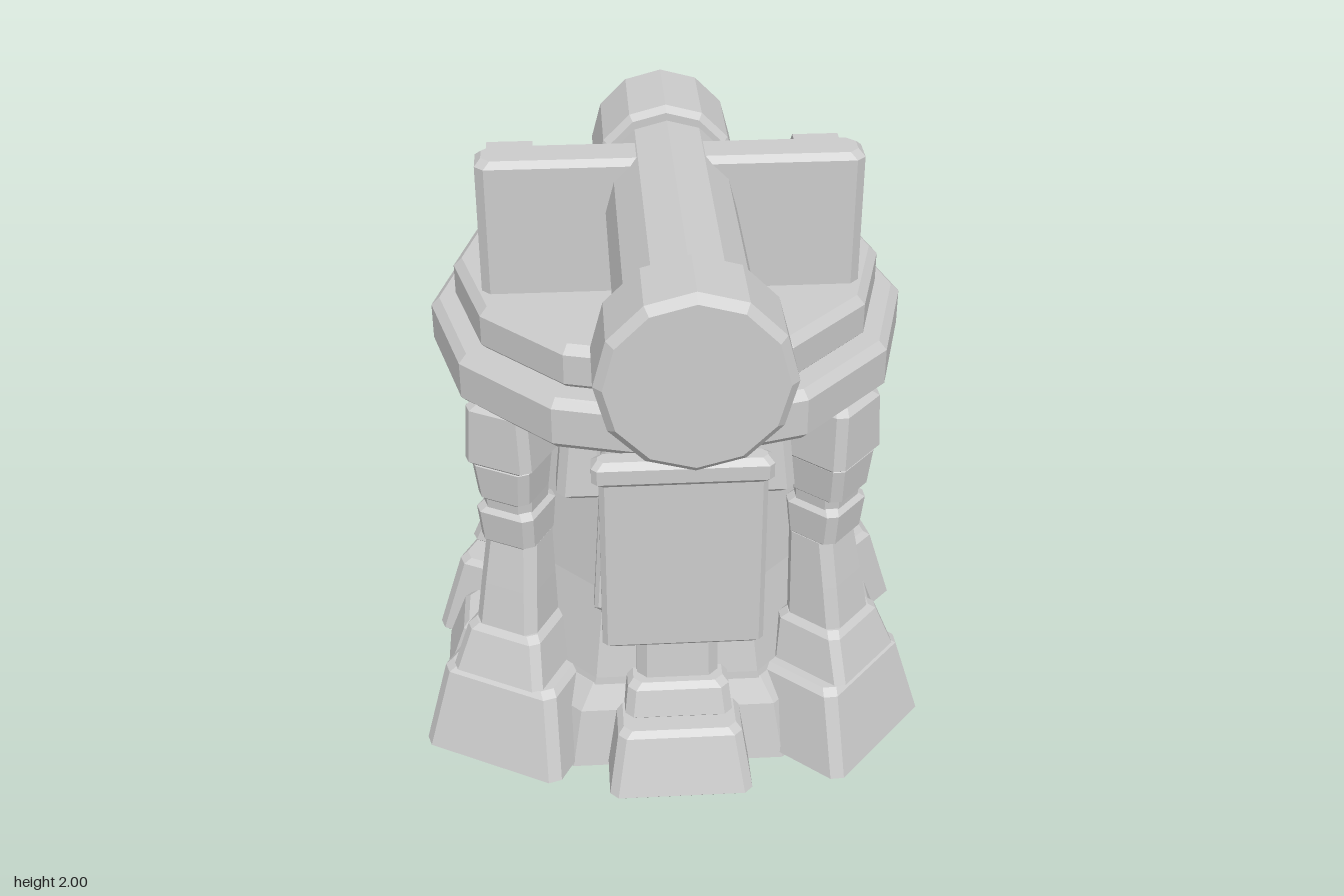
import * as THREE from 'three';

const mat = new THREE.MeshStandardMaterial({ color: 0xcccccc, flatShading: true });
const CZ = -0.22; // tower axis

function add(parent, name, geo, x = 0, y = 0, z = 0) {
  const m = new THREE.Mesh(geo, mat);
  m.name = name;
  m.position.set(x, y, z);
  parent.add(m);
  return m;
}

// Lofts chamfered rectangles [y, width, depth, zCentre, xCentre] into a closed stone
function loft(rings, cx = 0.03, cz = cx) {
  const pos = [], idx = [];
  for (const [y, w, d, z = 0, x = 0] of rings) {
    const a = w / 2, b = d / 2;
    for (const [px, pz] of [[a, -b + cz], [a, b - cz], [a - cx, b], [-a + cx, b],
      [-a, b - cz], [-a, -b + cz], [-a + cx, -b], [a - cx, -b]]) pos.push(x + px, y, z + pz);
  }
  const top = (rings.length - 1) * 8;
  for (let i = 0; i < top; i += 8) for (let j = 0; j < 8; j++) {
    const k = (j + 1) % 8;
    idx.push(i + j, i + 8 + j, i + 8 + k, i + j, i + 8 + k, i + k);
  }
  for (let j = 1; j < 7; j++) idx.push(0, j, j + 1, top, top + j + 1, top + j);
  const g = new THREE.BufferGeometry();
  g.setAttribute('position', new THREE.Float32BufferAttribute(pos, 3));
  g.setIndex(idx);
  g.computeVertexNormals();
  return g;
}

// Tapered stone with a bevelled upper and lower rim
function stone(y0, y1, w0, d0, z0, w1, d1, z1, x = 0, cx = 0.025, cz = cx) {
  const e = 0.018;
  return loft([[y0, w0 - e * 2, d0 - e * 2, z0, x], [y0 + e, w0, d0, z0, x],
    [y1 - e, w1, d1, z1, x], [y1, w1 - e * 2, d1 - e * 2, z1, x]], cx, cz);
}

// Closed twelve-sided drum with bevelled rims
function drum(r, y0, y1, e = 0.025) {
  return new THREE.LatheGeometry([[0, y0], [r - e, y0], [r, y0 + e], [r, y1 - e], [r - e, y1], [0, y1]]
    .map(p => new THREE.Vector2(...p)), 12);
}

// Flat outline pushed out along z
function plate(points, depth, bevel = 0) {
  return new THREE.ExtrudeGeometry(new THREE.Shape(points.map(p => new THREE.Vector2(...p))),
    { depth, bevelEnabled: bevel > 0, bevelSize: bevel, bevelThickness: bevel, bevelOffset: -bevel, bevelSegments: 1 });
}

// Corner leg: foot of given size and corner cut, stacked stones up to a capital of width cap
function leg(x, z, yawDeg, footW, footD, cap, cutX = 0.03, cutZ = 0.03) {
  const g = new THREE.Group();
  g.name = 'leg';
  g.position.set(x, 0, z);
  g.rotation.y = yawDeg * Math.PI / 180;
  add(g, 'foot', stone(0, 0.3, footW, footD, 0, footW - 0.09, footD - 0.06, -0.04, 0, cutX, cutZ));
  add(g, 'legPlinth', stone(0.29, 0.46, 0.31, 0.27, 0, 0.25, 0.23, -0.03));
  add(g, 'legShaft', loft([[0.44, 0.21, 0.2, -0.03], [0.6, 0.19, 0.18, -0.05], [0.75, 0.17, 0.16, -0.07]]));
  add(g, 'legCollar', stone(0.74, 0.88, 0.18, 0.17, -0.06, 0.19, 0.19, -0.06));
  add(g, 'legNeck', loft([[0.86, 0.16, 0.16, -0.06], [0.95, 0.17, 0.17, -0.06]]));
  add(g, 'legShoulder', stone(0.9, 1.05, cap - 0.03, cap - 0.03, -0.05, cap - 0.01, cap - 0.01, -0.05));
  add(g, 'legCapital', stone(1.03, 1.24, cap + 0.02, cap + 0.01, -0.05, cap, cap, -0.05));
  return g;
}

// Front and back: stepped buttress behind a pointed leaning panel
function panelFace() {
  const g = new THREE.Group();
  g.name = 'panelFace';
  add(g, 'buttressFoot', stone(0, 0.22, 0.44, 0.4, 0.54, 0.38, 0.34, 0.51));
  add(g, 'buttressStep', stone(0.21, 0.33, 0.33, 0.3, 0.46, 0.31, 0.27, 0.45));
  add(g, 'buttressColumn', loft([[0.32, 0.25, 0.25, 0.42], [1.22, 0.23, 0.2, 0.35]]));
  const panel = add(g, 'pointedPanel', plate([[0, 0], [0.25, 0.14], [0.21, 0.76], [-0.21, 0.76], [-0.25, 0.14]], 0.04, 0.012), 0, 0.455, 0.5);
  panel.rotation.x = -0.1;
  for (const s of [-1, 1])
    add(g, 'wallStone', stone(0.94, 1.17, 0.16, 0.14, 0.39, 0.12, 0.12, 0.38, s * 0.27));
  return g;
}

// Sides: recessed doorway with posts, lintel and an inner lattice
function doorFace() {
  const g = new THREE.Group();
  g.name = 'doorFace';
  add(g, 'doorStep', stone(0, 0.2, 0.26, 0.4, 0.54, 0.22, 0.34, 0.51));
  for (const s of [-1, 1]) {
    add(g, 'postFoot', stone(0, 0.32, 0.19, 0.32, 0.51, 0.15, 0.26, 0.47, s * 0.2));
    add(g, 'doorPost', loft([[0.3, 0.14, 0.18, 0.48, s * 0.2], [1.1, 0.12, 0.16, 0.42, s * 0.18]], 0.02));
    add(g, 'postCapital', stone(1.04, 1.23, 0.16, 0.2, 0.45, 0.15, 0.2, 0.45, s * 0.22));
    add(g, 'innerRail', loft([[0.18, 0.03, 0.05, 0.51, s * 0.08], [0.95, 0.03, 0.05, 0.41, s * 0.08]], 0.005));
  }
  add(g, 'lintel', stone(0.93, 1.09, 0.31, 0.2, 0.49, 0.35, 0.2, 0.49));
  add(g, 'upperBeam', stone(1.1, 1.2, 0.27, 0.14, 0.42, 0.27, 0.14, 0.42));
  [0.4, 0.6, 0.8].forEach((y, i) => {
    const slat = add(g, 'innerSlat', new THREE.BoxGeometry(0.2, 0.045, 0.03), 0, y, 0.5 - y * 0.1);
    slat.rotation.z = [0.35, -0.3, 0.2][i];
  });
  return g;
}

export function createModel() {
  const model = new THREE.Group();
  model.name = 'cannonTower';

  const tower = new THREE.Group();
  tower.name = 'tower';
  tower.position.z = CZ;
  model.add(tower);

  // Body and ground skirt
  add(tower, 'core', loft([[0.02, 1.02, 1.06], [0.3, 0.9, 1.0], [0.6, 0.84, 0.9], [1.24, 0.74, 0.8]], 0.2));
  add(tower, 'skirt', loft([[0, 1.14, 1.14], [0.2, 1.08, 1.08], [0.28, 1.0, 1.0]], 0.24));
  for (let i = 0; i < 4; i++) {
    const face = i % 2 ? doorFace() : panelFace();
    face.rotation.y = i * Math.PI / 2;
    tower.add(face);
  }

  // Slightly uneven corner legs; the last has a foot with a pointed outer side
  model.add(leg(0.5, 0.185, 48, 0.48, 0.4, 0.21), leg(-0.5, 0.165, -28, 0.48, 0.4, 0.2),
    leg(-0.47, -0.545, -117, 0.62, 0.4, 0.24), leg(0.505, -0.595, 136, 0.62, 0.54, 0.24, 0.25, 0.17));

  // Platform
  add(tower, 'lowerPlatform', drum(0.705, 1.22, 1.38));
  add(tower, 'upperPlatform', drum(0.63, 1.37, 1.51));

  // Hanging banner
  add(model, 'bannerRod', stone(1.175, 1.255, 0.5, 0.08, 0.49, 0.5, 0.08, 0.49, 0, 0.015));
  add(model, 'bannerCloth', stone(0.575, 1.225, 0.47, 0.06, 0.45, 0.47, 0.06, 0.45, 0.005, 0.015));

  // Cannon, lying along z
  const cannon = new THREE.Group();
  cannon.name = 'cannon';
  cannon.position.y = 1.755;
  cannon.rotation.x = Math.PI / 2;
  model.add(cannon);
  add(cannon, 'barrel', drum(0.183, -0.21, 0.75, 0.02));
  add(cannon, 'muzzle', drum(0.245, 0.73, 0.96, 0.022));
  add(cannon, 'breech', drum(0.207, -0.535, -0.23, 0.018));

  // Shield plate crossed by the barrel, and side cheeks
  add(model, 'shieldPlate', stone(1.49, 1.91, 1.08, 0.135, -0.055, 1.08, 0.135, -0.055));
  const cheek = plate([[0.12, 1.49], [0.12, 1.74], [0.21, 1.8], [0.39, 1.8], [0.52, 1.69], [0.58, 1.49]], 0.135);
  for (const s of [-1, 1])
    add(model, 'cheek', cheek, s * 0.4525 - 0.0675).rotation.y = Math.PI / 2;
  return model;
}
